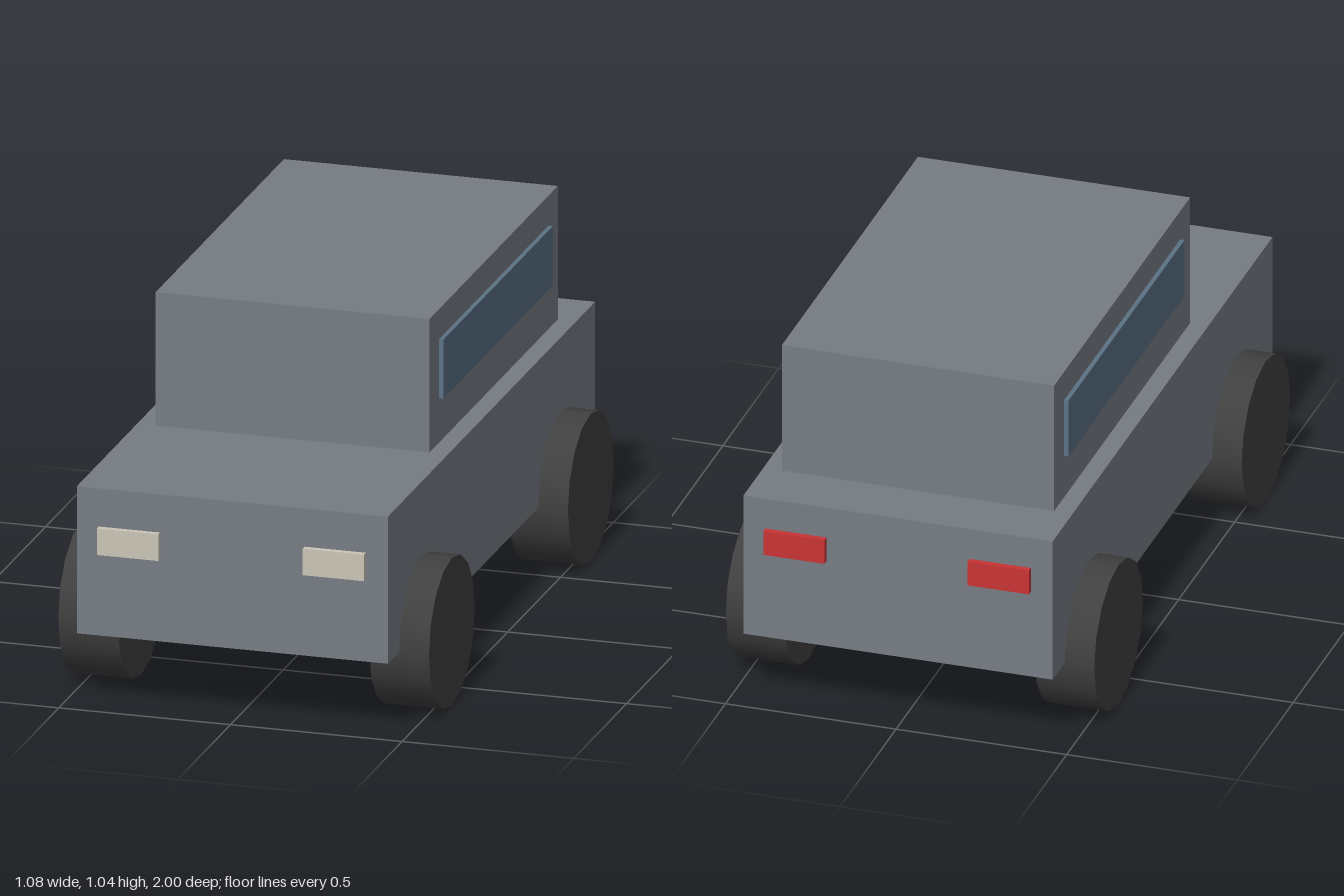
import * as THREE from 'three';

const paint = (name, color) => {
  const m = new THREE.MeshStandardMaterial({ color });
  m.name = name;
  return m;
};

export function createModel() {
  const car = new THREE.Group();
  car.name = 'car';
  const bodyGrey = paint('bodyGrey', 0x777c84);
  const glassBlue = paint('glassBlue', 0x5b7285);
  const lampCream = paint('lampCream', 0xcbc5b7);
  const lampRed = paint('lampRed', 0xc93434);
  const tyreBlack = paint('tyreBlack', 0x404040);

  // Box given by its lower and upper limits on each axis
  const box = (name, material, [x0, x1], [y0, y1], [z0, z1]) => {
    const mesh = new THREE.Mesh(new THREE.BoxGeometry(x1 - x0, y1 - y0, z1 - z0), material);
    mesh.position.set((x0 + x1) / 2, (y0 + y1) / 2, (z0 + z1) / 2);
    mesh.name = name;
    car.add(mesh);
  };

  // Lower body and cabin
  box('body', bodyGrey, [-0.453, 0.453], [0.218, 0.65], [-0.982, 0.982]);
  box('cabin', bodyGrey, [-0.399, 0.399], [0.65, 1.042], [-0.804, 0.411]);

  // Wheels lie across the car, partly inside the body
  const wheelGeometry = new THREE.CylinderGeometry(0.217, 0.217, 0.174, 16);
  wheelGeometry.rotateZ(Math.PI / 2);

  for (const [side, s] of [['left', 1], ['right', -1]]) {
    const span = (a, b) => (s > 0 ? [a, b] : [-b, -a]);
    box(side + 'Window', glassBlue, span(0.395, 0.412), [0.78, 0.954], [-0.716, 0.322]);
    box(side + 'Headlight', lampCream, span(0.21, 0.389), [0.46, 0.538], [0.97, 1]);
    box(side + 'TailLight', lampRed, span(0.21, 0.389), [0.483, 0.557], [-1, -0.97]);
    for (const [end, z] of [['Front', 0.658], ['Rear', -0.658]]) {
      const wheel = new THREE.Mesh(wheelGeometry, tyreBlack);
      wheel.position.set(s * 0.453, 0.217, z);
      wheel.name = side + end + 'Wheel';
      car.add(wheel);
    }
  }
  return car;
}
